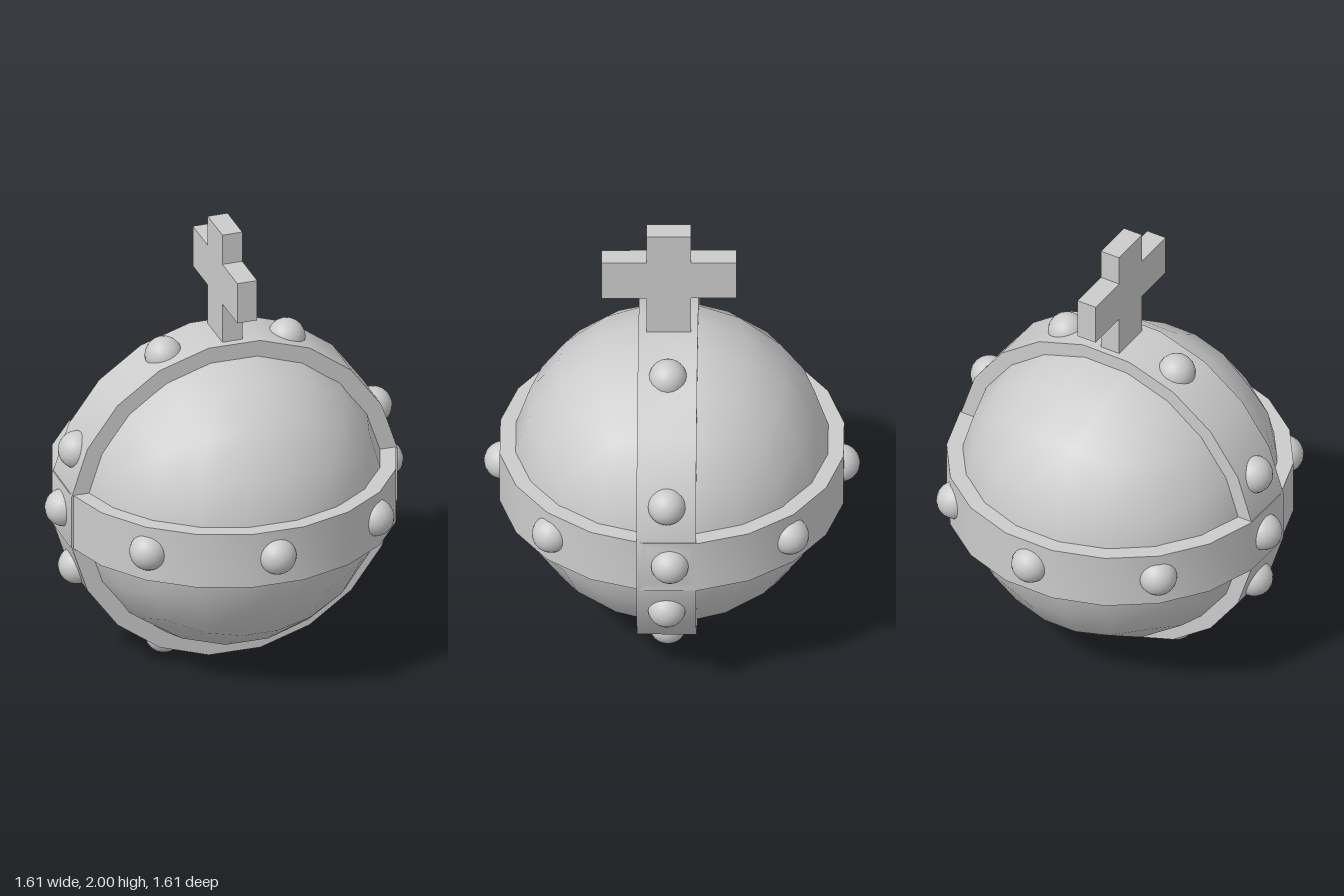
import * as THREE from 'three';
import { toCreasedNormals } from 'three/addons/utils/BufferGeometryUtils.js';

const SIDES = 20;          // facets around the globe and the bands
const GLOBE_R = 0.69;
const BAND_R = 0.744;
const BAND_HALF = 0.127;
const CENTER_Y = 0.752;

const material = new THREE.MeshStandardMaterial({ color: 0xcccccc });

function add(parent, name, geometry) {
  const mesh = new THREE.Mesh(geometry, material);
  mesh.name = name;
  parent.add(mesh);
  return mesh;
}

// Cube blown up to a sphere with equal angles, smooth normals
function globeGeometry() {
  const n = SIDES / 4;
  const geo = new THREE.BoxGeometry(2, 2, 2, n, n, n);
  const pos = geo.attributes.position;
  const v = new THREE.Vector3();
  const spread = (c) => Math.tan(c * Math.PI / 4);
  for (let i = 0; i < pos.count; i++) {
    v.fromBufferAttribute(pos, i);
    v.set(spread(v.x), spread(v.y), spread(v.z)).normalize();
    geo.attributes.normal.setXYZ(i, v.x, v.y, v.z);
    pos.setXYZ(i, v.x * GLOBE_R, v.y * GLOBE_R, v.z * GLOBE_R);
  }
  return geo;
}

// Flat hoop with a rectangular section, sunk into the globe
function bandGeometry() {
  const profile = [
    [0.62, -BAND_HALF], [BAND_R, -BAND_HALF], [BAND_R, BAND_HALF], [0.62, BAND_HALF],
  ].map(([r, y]) => new THREE.Vector2(r, y));
  const geo = new THREE.LatheGeometry(profile, SIDES, Math.PI / SIDES);
  return toCreasedNormals(geo, Math.PI / 6);
}

// Plus-shaped outline drawn in (z, y), extruded across x
function crossGeometry() {
  const w = 0.095, arm = 0.288, bottom = 1.42, low = 1.67, high = 1.86, top = 2;
  const outline = [
    [-w, bottom], [w, bottom], [w, low], [arm, low], [arm, high], [w, high],
    [w, top], [-w, top], [-w, high], [-arm, high], [-arm, low], [-w, low],
  ].map(([a, b]) => new THREE.Vector2(a, b));
  const geo = new THREE.ExtrudeGeometry(new THREE.Shape(outline), { depth: 0.09, bevelEnabled: false });
  return geo.translate(0, 0, -0.045).rotateY(-Math.PI / 2).translate(0, 0, 0.013);
}

export function createModel() {
  const model = new THREE.Group();
  model.name = 'orb';

  const ball = new THREE.Group();
  ball.name = 'jewelledGlobe';
  ball.position.y = CENTER_Y;
  ball.rotation.y = -0.015;
  model.add(ball);

  add(ball, 'globe', globeGeometry());
  add(ball, 'equatorBand', bandGeometry());
  const meridian = add(ball, 'meridianBand', bandGeometry());
  meridian.rotation.x = Math.PI / 2;
  meridian.position.z = 0.016;

  // Eight studs on each band; the meridian set is offset by half a step
  const stud = new THREE.SphereGeometry(0.082, 20, 14);
  const studR = 0.722;
  for (let i = 0; i < 8; i++) {
    const a = i * Math.PI / 4;
    const b = a + Math.PI / 8;
    add(ball, 'equatorStud', stud).position.set(studR * Math.cos(a), 0.002, studR * Math.sin(a));
    add(ball, 'meridianStud', stud).position.set(studR * Math.cos(b), studR * Math.sin(b), 0.014);
  }

  add(model, 'cross', crossGeometry());
  return model;
}
